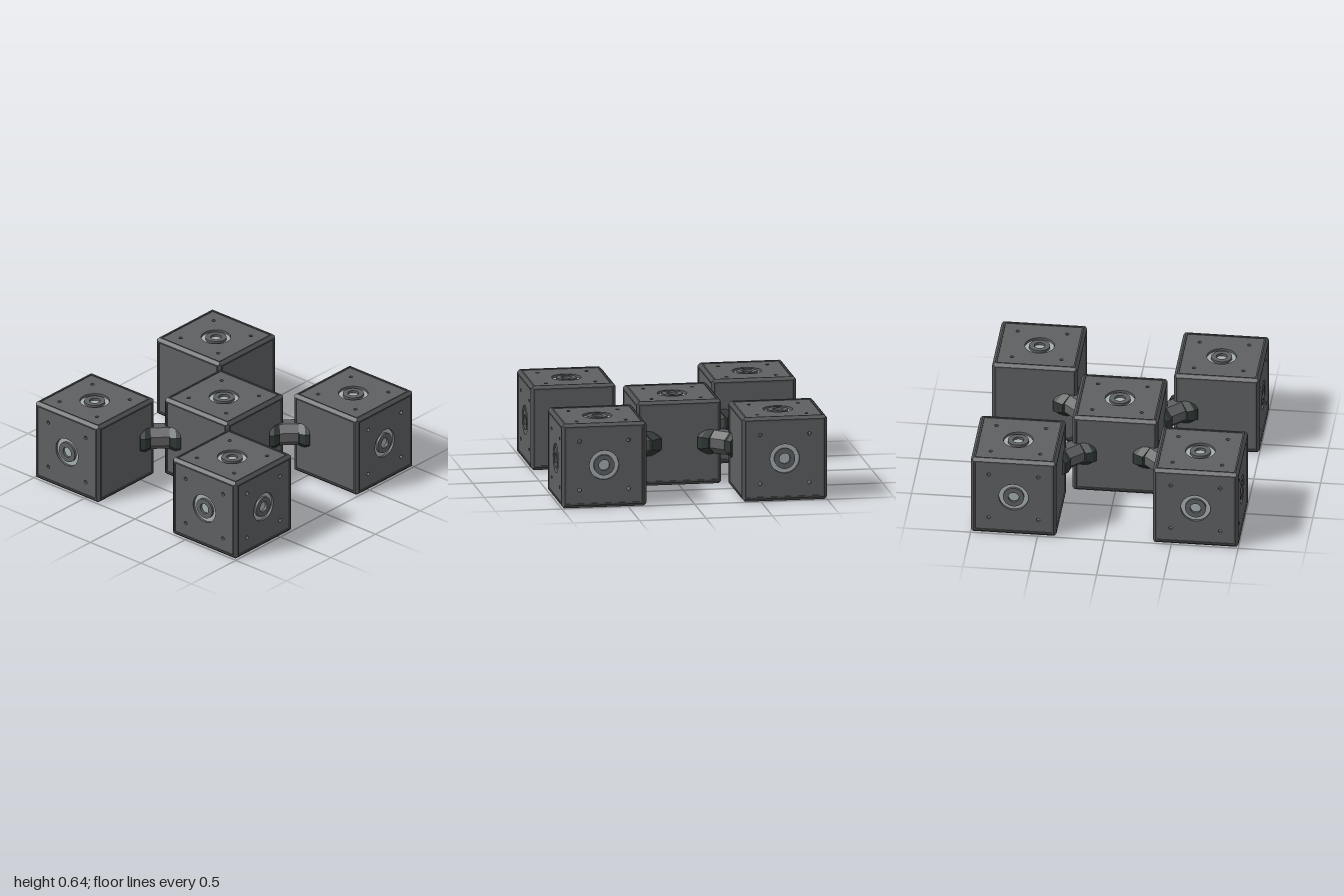
import * as THREE from 'three';

const mat = (name, color, side = THREE.FrontSide) => {
  const m = new THREE.MeshStandardMaterial({ color, side });
  m.name = name;
  return m;
};
const panelGrey = mat('panel grey', 0x5f6062);
const frameGrey = mat('frame grey', 0x515254);
const paleMetal = mat('pale metal', 0xa6b0b5);
const collarDark = mat('collar dark', 0x303937);

const HALF = 0.32;
const SPACING = 0.68;

// Faceted solid of revolution with flat sides; profile runs upwards as [apothem, y]
function prism(profile, sides) {
  const k = 1 / Math.cos(Math.PI / sides);
  const points = profile.map(([r, y]) => new THREE.Vector2(r * k, y));
  const g = new THREE.LatheGeometry(points, sides, Math.PI / sides).toNonIndexed();
  g.computeVertexNormals();
  return g;
}

const circle = (x, y, r) => new THREE.Path().absarc(x, y, r, 0, Math.PI * 2, true);

// Flat plate lying in the xz plane, from y = base upwards
function plate(shape, base, depth) {
  return new THREE.ExtrudeGeometry(shape, { depth, bevelEnabled: false, curveSegments: 24 })
    .rotateX(-Math.PI / 2).translate(0, base, 0);
}

function square(h) {
  return new THREE.Shape([[-h, -h], [h, -h], [h, h], [-h, h]].map(([x, y]) => new THREE.Vector2(x, y)));
}

// Shared geometry for one cube side, facing +y
const frameGeo = prism([[0.309, 0.309], [0.298, HALF], [0.286, HALF], [0.286, 0.29]], 4);
const plainGeo = plate(square(0.286), 0.292, 0.02);
const drilled = square(0.286);
drilled.holes.push(circle(0, 0, 0.11));
for (const x of [-0.185, 0.185]) for (const y of [-0.185, 0.185]) drilled.holes.push(circle(x, y, 0.014));
const drilledGeo = plate(drilled, 0.292, 0.02);
const annulus = new THREE.Shape().absarc(0, 0, 0.078, 0, Math.PI * 2, false);
annulus.holes.push(circle(0, 0, 0.04));
const annulusGeo = plate(annulus, 0.292, 0.02);
const backingGeo = new THREE.CylinderGeometry(0.125, 0.125, 0.006, 32).translate(0, 0.29, 0);

function add(group, name, geometry, material) {
  const m = new THREE.Mesh(geometry, material);
  m.name = name;
  group.add(m);
  return m;
}

function cubeSide(normal, detailed) {
  const side = new THREE.Group();
  side.name = detailed ? 'portSide' : 'plainSide';
  add(side, 'edgeFrame', frameGeo, frameGrey);
  if (detailed) {
    add(side, 'drilledPanel', drilledGeo, panelGrey);
    add(side, 'portCollar', annulusGeo, panelGrey);
    add(side, 'portContact', backingGeo, paleMetal);
  } else {
    add(side, 'plainPanel', plainGeo, panelGrey);
  }
  side.quaternion.setFromUnitVectors(new THREE.Vector3(0, 1, 0), normal);
  return side;
}

// Ports sit on top, bottom and the sides facing away from the centre
function cube(name, sx, sz) {
  const g = new THREE.Group();
  g.name = name;
  for (const s of [-1, 1]) {
    g.add(cubeSide(new THREE.Vector3(0, s, 0), true));
    g.add(cubeSide(new THREE.Vector3(s, 0, 0), s === sx));
    g.add(cubeSide(new THREE.Vector3(0, 0, s), s === sz));
  }
  g.position.set(sx * SPACING, HALF, sz * SPACING);
  return g;
}

// Octagonal strut with a tapered collar at each end, running along +x
const strutGeo = prism([[0, 0.33], [0.092, 0.33], [0.092, 0.63], [0, 0.63]], 8);
const collarGeo = prism([[0, 0.33], [0.136, 0.33], [0.136, 0.365], [0.11, 0.41], [0, 0.41]], 8);
const outerCollarGeo = prism([[0, 0.55], [0.11, 0.55], [0.136, 0.595], [0.136, 0.63], [0, 0.63]], 8);
for (const [g, v] of [[strutGeo, 0.95], [collarGeo, 0.78], [outerCollarGeo, 0.78]]) {
  g.rotateZ(-Math.PI / 2).scale(1, v, 1);
  g.computeVertexNormals();
}

function connector(sx, sz) {
  const g = new THREE.Group();
  g.name = 'connector';
  add(g, 'strut', strutGeo, panelGrey);
  add(g, 'innerCollar', collarGeo, collarDark);
  add(g, 'outerCollar', outerCollarGeo, collarDark);
  g.rotation.y = Math.atan2(-sz, sx);
  g.position.y = HALF;
  return g;
}

export function createModel() {
  const model = new THREE.Group();
  model.name = 'cubeCluster';
  model.add(cube('centreCube', 0, 0));
  for (const sx of [-1, 1]) {
    for (const sz of [-1, 1]) {
      model.add(cube(`${sz > 0 ? 'front' : 'back'}${sx > 0 ? 'Left' : 'Right'}Cube`, sx, sz));
      model.add(connector(sx, sz));
    }
  }
  return model;
}
